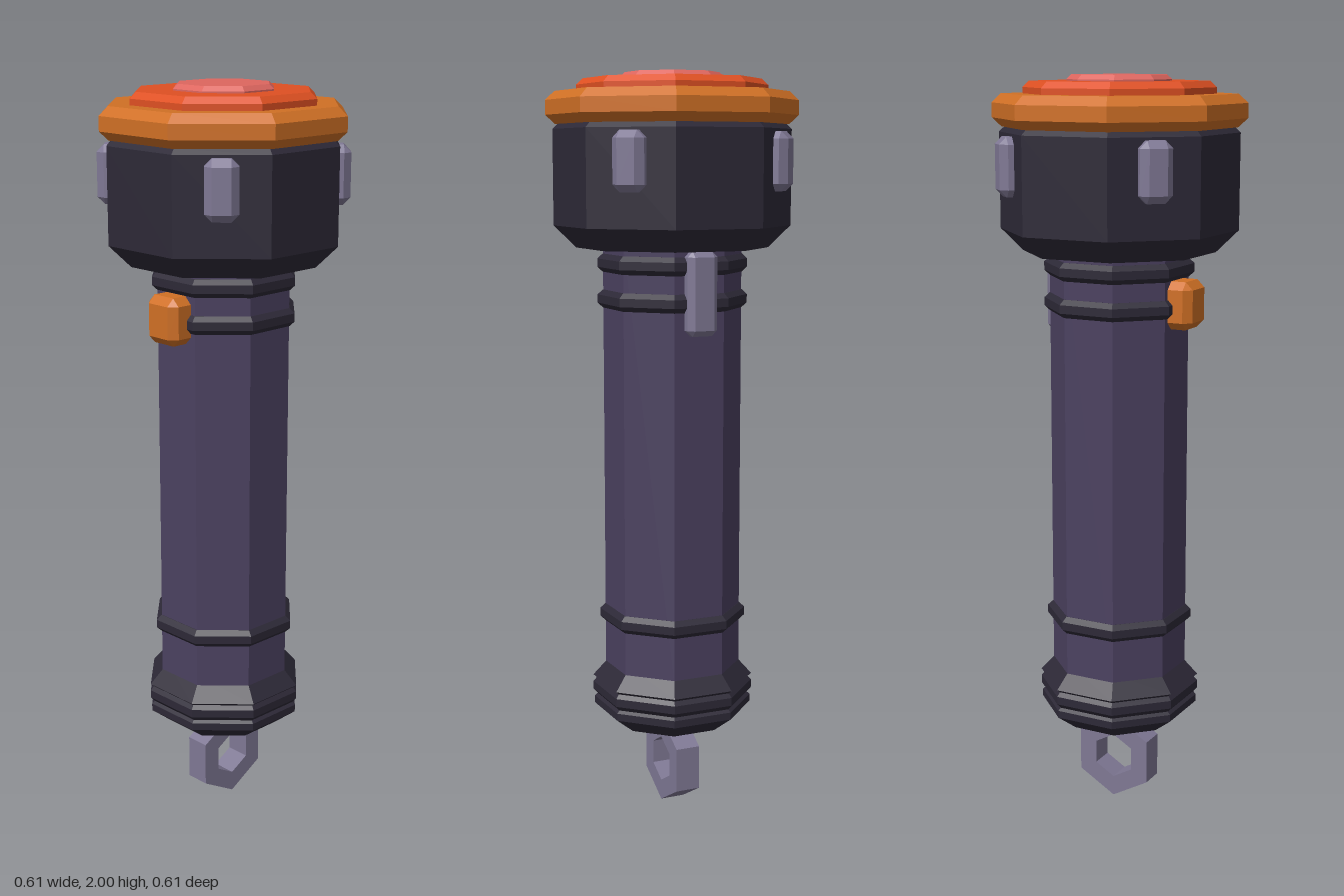
import * as THREE from 'three';
import { ConvexGeometry } from 'three/addons/geometries/ConvexGeometry.js';

const paint = (color) => new THREE.MeshStandardMaterial({ color, flatShading: true });
const MAT = {
  body: paint(0x4b4160), dark: paint(0x2d2937), metal: paint(0x7f7894),
  orange: paint(0xd07025), red: paint(0xdf5022), pink: paint(0xde665f),
};

function add(parent, name, geometry, material) {
  const mesh = new THREE.Mesh(geometry, material);
  mesh.name = name;
  parent.add(mesh);
  return mesh;
}

// Closed octagonal solid from [distance to flat, height] pairs, bottom to top
function octagon(profile) {
  const k = 1 / Math.cos(Math.PI / 8);
  const pts = profile.map(([r, y]) => new THREE.Vector2(r * k, y));
  pts.unshift(new THREE.Vector2(0, profile[0][1]));
  pts.push(new THREE.Vector2(0, profile[profile.length - 1][1]));
  return new THREE.LatheGeometry(pts, 8, Math.PI / 8);
}

// Octagonal disc with bevelled rims
const disc = (r, y0, y1, b) => octagon([[r - b, y0], [r, y0 + b], [r, y1 - b], [r - b, y1]]);

// Box with chamfered edges
function chamferBox(w, h, d, c) {
  const pts = [];
  for (const x of [-1, 1]) for (const y of [-1, 1]) for (const z of [-1, 1]) {
    for (let i = 0; i < 3; i++) {
      const inset = [c, c, c];
      inset[i] = 0;
      pts.push(new THREE.Vector3(x * (w / 2 - inset[0]), y * (h / 2 - inset[1]), z * (d / 2 - inset[2])));
    }
  }
  return new ConvexGeometry(pts);
}

// Pointy-topped hexagon outline
function hexagon(target, r) {
  const pts = [];
  for (let i = 0; i < 6; i++) {
    const a = Math.PI / 2 + i * Math.PI / 3;
    pts.push(new THREE.Vector2(r * Math.cos(a), r * Math.sin(a)));
  }
  return target.setFromPoints(pts);
}

export function createModel() {
  const model = new THREE.Group();
  model.name = 'flashlight';

  // Handle and its grip rings
  add(model, 'handle', octagon([[0.17, 0.4], [0.17, 1.57]]), MAT.body);
  for (const y of [0.547, 1.412, 1.507]) {
    add(model, 'gripRing', disc(0.184, y - 0.024, y + 0.024, 0.013), MAT.dark);
  }

  // Stepped end cap
  add(model, 'endCap', octagon([
    [0.145, 0.24], [0.2, 0.285], [0.2, 0.305], [0.192, 0.312], [0.203, 0.325],
    [0.203, 0.347], [0.194, 0.358], [0.203, 0.366], [0.155, 0.424],
  ]), MAT.dark);

  // Hexagonal hanging loop
  const outline = hexagon(new THREE.Shape(), 0.121);
  outline.holes.push(hexagon(new THREE.Path(), 0.064));
  const loop = new THREE.ExtrudeGeometry(outline, { depth: 0.068, bevelEnabled: false });
  add(model, 'hangingLoop', loop.translate(0, 0.123, -0.034), MAT.metal);

  // Head, bezel and stacked lens
  add(model, 'head', octagon([[0.235, 1.547], [0.29, 1.605], [0.29, 1.855], [0.277, 1.868]]), MAT.dark);
  add(model, 'bezel', disc(0.307, 1.868, 1.952, 0.023), MAT.orange);
  add(model, 'outerLens', octagon([[0.232, 1.94], [0.232, 1.968], [0.216, 1.984]]), MAT.red);
  add(model, 'innerLens', octagon([[0.126, 1.975], [0.126, 1.988], [0.114, 2.0]]), MAT.pink);

  // Lugs on the four diagonal faces of the head
  for (let i = 0; i < 4; i++) {
    const a = Math.PI / 4 + i * Math.PI / 2;
    const lug = add(model, 'headLug', chamferBox(0.085, 0.152, 0.08, 0.019), MAT.metal);
    lug.position.set(0.284 * Math.sin(a), 1.772, 0.284 * Math.cos(a));
    lug.rotation.y = a;
  }

  // Side clip and switch
  add(model, 'sideClip', chamferBox(0.08, 0.218, 0.084, 0.015), MAT.metal).position.set(0.163, 1.437, 0);
  add(model, 'switchButton', chamferBox(0.09, 0.125, 0.11, 0.02), MAT.orange).position.set(-0.187, 1.42, 0);

  return model;
}
